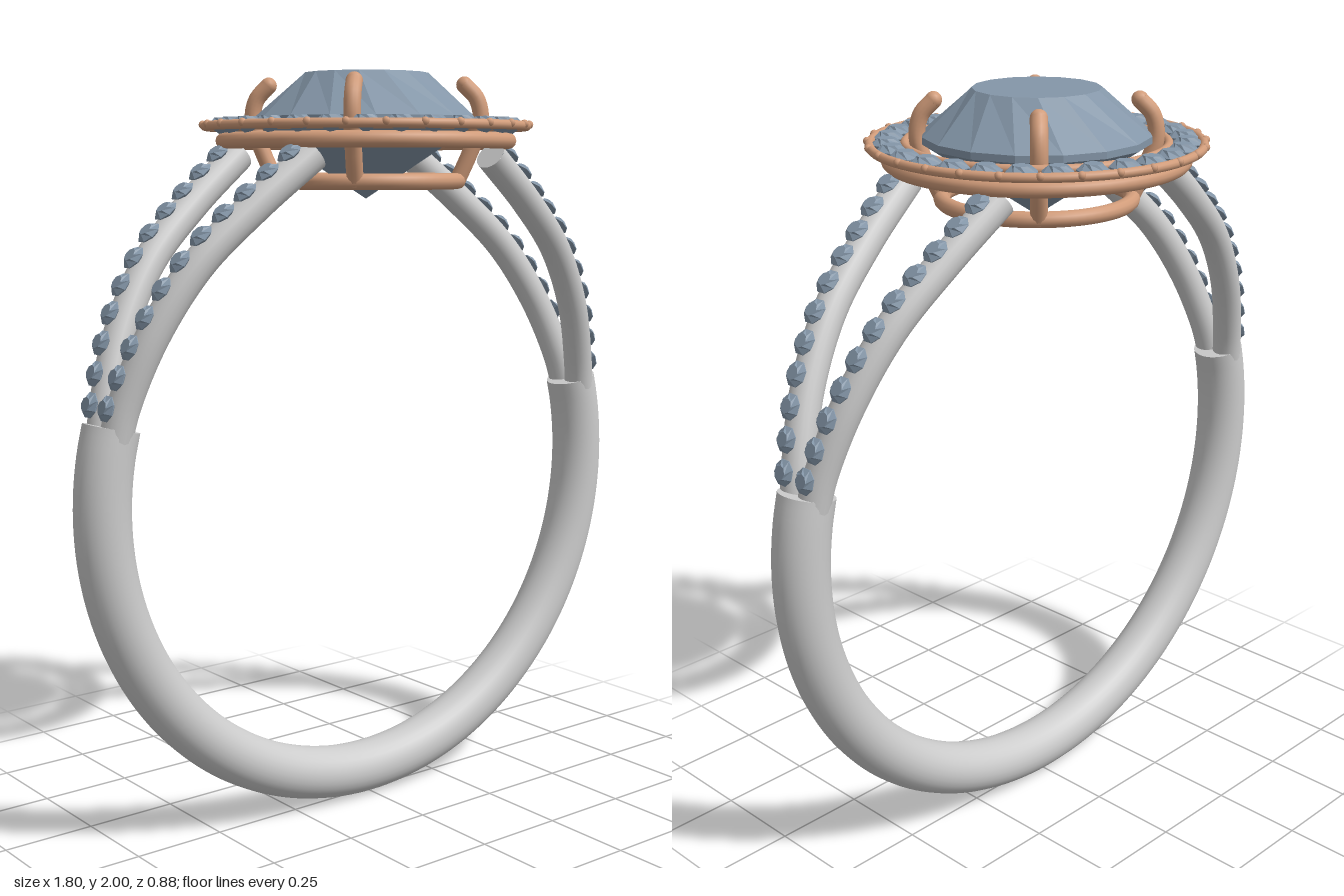
import * as THREE from 'three';
import { mergeGeometries } from 'three/addons/utils/BufferGeometryUtils.js';

const silver = new THREE.MeshStandardMaterial({ color: 0xcccccc });
const gold = new THREE.MeshStandardMaterial({ color: 0xd19c7a });
const stone = new THREE.MeshStandardMaterial({ color: 0x8496a8, flatShading: true });
const V = (x, y, z) => new THREE.Vector3(x, y, z);
const UP = V(0, 1, 0);

function add(parent, name, geometry, material) {
  const mesh = new THREE.Mesh(geometry, material);
  mesh.name = name;
  parent.add(mesh);
  return mesh;
}

// Round rod along a curve, closed by a flat disc at each end
function rod(curve, radius, segments, sides = 20) {
  const parts = [new THREE.TubeGeometry(curve, segments, radius, sides)];
  for (const t of [0, 1]) {
    const out = curve.getTangentAt(t).multiplyScalar(t ? 1 : -1);
    const cap = new THREE.CircleGeometry(radius, sides);
    cap.applyQuaternion(new THREE.Quaternion().setFromUnitVectors(V(0, 0, 1), out));
    const p = curve.getPointAt(t);
    parts.push(cap.translate(p.x, p.y, p.z));
  }
  return mergeGeometries(parts);
}

// Brilliant cut with girdle radius 1 at y = 0; each ring is [radius, y, twist in steps]
function brilliant(sides) {
  const rings = [[0, 0.41, 0], [0.56, 0.41, 0], [1, 0.02, 0.5], [1, -0.04, 0.5], [0, -0.7, 0.5]];
  const pos = [], index = [];
  rings.forEach(([r, y, twist]) => {
    for (let i = 0; i < sides; i++) {
      const a = ((i + twist) / sides) * Math.PI * 2;
      pos.push(r * Math.sin(a), y, r * Math.cos(a));
    }
  });
  for (let k = 0; k < rings.length - 1; k++) {
    for (let i = 0; i < sides; i++) {
      const j = (i + 1) % sides;
      const a = k * sides + i, b = k * sides + j, c = a + sides, d = b + sides;
      if (rings[k][0] > 0) index.push(a, d, b);
      if (rings[k + 1][0] > 0) index.push(a, c, d);
    }
  }
  const g = new THREE.BufferGeometry();
  g.setAttribute('position', new THREE.Float32BufferAttribute(pos, 3));
  g.setIndex(index);
  const flat = g.toNonIndexed();
  flat.computeVertexNormals();
  return flat;
}

function hoop(parent, name, radius, tube, y) {
  const g = new THREE.TorusGeometry(radius, tube, 12, 72).rotateX(Math.PI / 2);
  add(parent, name, g, gold).position.y = y;
}

export function createModel() {
  const ring = new THREE.Group();
  ring.name = 'ring';

  // Lower band: an open arc ending below the split
  const end = 0.274, bandPoints = [];
  for (let i = 0; i <= 48; i++) {
    const a = end - ((Math.PI + 2 * end) * i) / 48;
    bandPoints.push(V(0.828 * Math.cos(a), 0.9 + 0.828 * Math.sin(a), 0));
  }
  add(ring, 'band', rod(new THREE.CatmullRomCurve3(bandPoints), 0.072, 120, 28), silver);

  // Four split shoulders, each set with a row of small stones
  const accent = brilliant(8);
  for (const sx of [1, -1]) for (const sz of [1, -1]) {
    const shoulder = new THREE.Group();
    shoulder.name = (sx > 0 ? 'left' : 'right') + (sz > 0 ? 'Front' : 'Back') + 'Shoulder';
    ring.add(shoulder);
    const path = new THREE.CatmullRomCurve3([
      [0.807, 1.08, 0.028], [0.785, 1.18, 0.042], [0.72, 1.35, 0.077],
      [0.61, 1.52, 0.112], [0.46, 1.66, 0.142], [0.3, 1.785, 0.166],
    ].map(([x, y, z]) => V(sx * x, y, sz * z)));
    add(shoulder, 'shoulderBar', rod(path, 0.042, 40), silver);
    for (let i = 0; i < 11; i++) {
      const t = 0.1 + i * 0.084;
      const tangent = path.getTangentAt(t);
      const out = V(sx * tangent.y, -sx * tangent.x, 0);
      out.addScaledVector(tangent, -out.dot(tangent)).normalize();
      const gem = add(shoulder, 'shoulderStone', accent, stone);
      gem.scale.setScalar(0.034);
      gem.position.copy(path.getPointAt(t)).addScaledVector(out, 0.045);
      gem.quaternion.setFromUnitVectors(UP, out);
    }
  }

  // Halo: two thin rims, a lower rail and a circle of stones
  const halo = new THREE.Group();
  halo.name = 'halo';
  ring.add(halo);
  hoop(halo, 'outerRim', 0.428, 0.012, 1.86);
  hoop(halo, 'innerRim', 0.338, 0.012, 1.86);
  hoop(halo, 'lowerRail', 0.38, 0.021, 1.822);
  const bead = new THREE.SphereGeometry(0.011, 8, 6);
  const count = 28;
  for (let i = 0; i < count; i++) {
    const a = (i / count) * Math.PI * 2, b = a + Math.PI / count;
    const gem = add(halo, 'haloStone', accent, stone);
    gem.scale.setScalar(0.041);
    gem.position.set(0.384 * Math.sin(a), 1.864, 0.384 * Math.cos(a));
    gem.rotation.y = a;
    add(halo, 'bead', bead, gold).position.set(0.434 * Math.sin(b), 1.864, 0.434 * Math.cos(b));
  }

  // Basket: base hoop and four prongs gripping the centre stone
  const basket = new THREE.Group();
  basket.name = 'basket';
  ring.add(basket);
  hoop(basket, 'baseHoop', 0.247, 0.021, 1.717);
  const prongPath = new THREE.CatmullRomCurve3([
    V(0, 1.712, 0.243), V(0, 1.79, 0.278), V(0, 1.87, 0.306), V(0, 1.93, 0.296), V(0, 1.968, 0.262),
  ]);
  const tip = new THREE.SphereGeometry(0.022, 14, 10).translate(0, 1.968, 0.262);
  const prong = mergeGeometries([rod(prongPath, 0.022, 24, 14), tip]);
  for (let i = 0; i < 4; i++) add(basket, 'prong', prong, gold).rotation.y = Math.PI / 4 + (i * Math.PI) / 2;

  // Centre stone
  const centre = add(ring, 'centreStone', brilliant(16), stone);
  centre.scale.setScalar(0.297);
  centre.position.y = 1.878;

  return ring;
}
